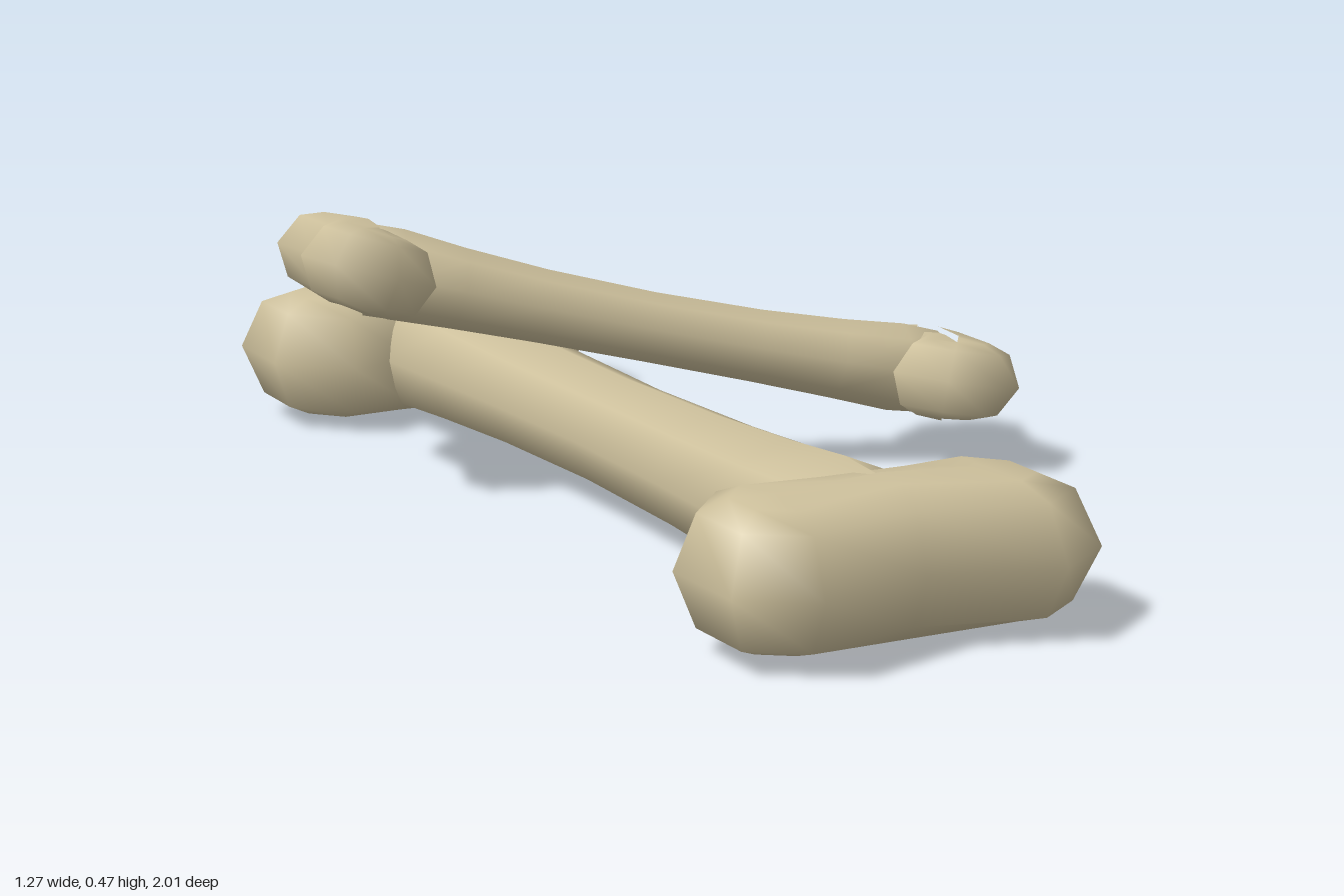
import * as THREE from 'three';
import { mergeVertices } from 'three/addons/utils/BufferGeometryUtils.js';

// Skin a list of closed rings (each an array of [x, y, z]) with smooth normals
function loft(rings) {
  const n = rings[0].length, index = [];
  for (let i = 0; i < rings.length - 1; i++) {
    for (let j = 0; j < n; j++) {
      const a = i * n + j, b = i * n + (j + 1) % n;
      index.push(a, b, a + n, b, b + n, a + n);
    }
  }
  const geometry = new THREE.BufferGeometry();
  geometry.setAttribute('position', new THREE.Float32BufferAttribute(rings.flat(2), 3));
  geometry.setIndex(index);
  const merged = mergeVertices(geometry, 1e-4);
  merged.computeVertexNormals();
  return merged;
}

// Two-lobed knuckle: outline in plan (along, across), shrunk towards a spine above and below
function knuckleGeometry(bend) {
  const half = [[0.99, 0.195], [0.916, 0.3], [0.75, 0.303], [0.63, 0.197], [0.7, 0.07]];
  const outline = [[0.93, 0], ...half, ...half.map(([u, v]) => [u, -v]).reverse()];
  const layers = [[0, 0.107], [0.45, 0.103], [0.77, 0.083], [1, 0], [0.77, -0.083], [0.45, -0.103], [0, -0.107]];
  return loft(layers.map(([t, y]) => outline.map(([u, v]) => {
    const spine = THREE.MathUtils.clamp(v, -0.17, 0.17);
    const swell = t < 0.5 ? 1 + 0.1 * (1 - Math.abs(spine) / 0.17) : 1;
    return [0.8 + (u - 0.8) * t, y * swell + bend * u * u, spine + (v - spine) * t];
  })));
}

// Shaft: waisted eight-sided tube whose ends sink into the knuckles
function shaftGeometry(bend) {
  const half = [[0.3, 0.098, 0.1], [0.53, 0.108, 0.112], [0.7, 0.12, 0.12], [0.8, 0.113, 0.08], [0.9, 0.04, 0.03], [0.9, 0, 0]];
  const stations = [...half.map(([u, h, w]) => [-u, h, w]).reverse(), [0, 0.094, 0.092], ...half];
  return loft(stations.map(([u, h, w]) => Array.from({ length: 8 }, (_, k) => {
    const a = k * Math.PI / 4;
    return [u, h * Math.cos(a) + bend * u * u, w * Math.sin(a)];
  })));
}

function createBone(name, material, bend) {
  const bone = new THREE.Group();
  bone.name = name;
  const shaft = new THREE.Mesh(shaftGeometry(bend), material);
  shaft.name = 'shaft';
  bone.add(shaft);
  for (const side of [0, 1]) {
    const knuckle = new THREE.Mesh(knuckleGeometry(bend), material);
    knuckle.name = side ? 'nearKnuckle' : 'farKnuckle';
    knuckle.rotation.y = side * Math.PI;
    bone.add(knuckle);
  }
  return bone;
}

export function createModel() {
  const group = new THREE.Group();
  group.name = 'crossedBones';
  const material = new THREE.MeshStandardMaterial({ color: 0xcdc09c });
  material.name = 'bone';

  // Large bone lying flat
  const large = createBone('largeBone', material, 0);
  large.position.set(-0.12, 0.121, 0);
  large.rotation.y = THREE.MathUtils.degToRad(75.6);

  // Small bone leaning across it, slightly curved and rolled
  const small = createBone('smallBone', material, 0.03);
  small.scale.setScalar(0.62);
  small.position.set(0.05, 0.253, -0.13);
  small.rotation.set(0.1, THREE.MathUtils.degToRad(151.7), 0.23, 'YZX');

  group.add(large, small);
  return group;
}
